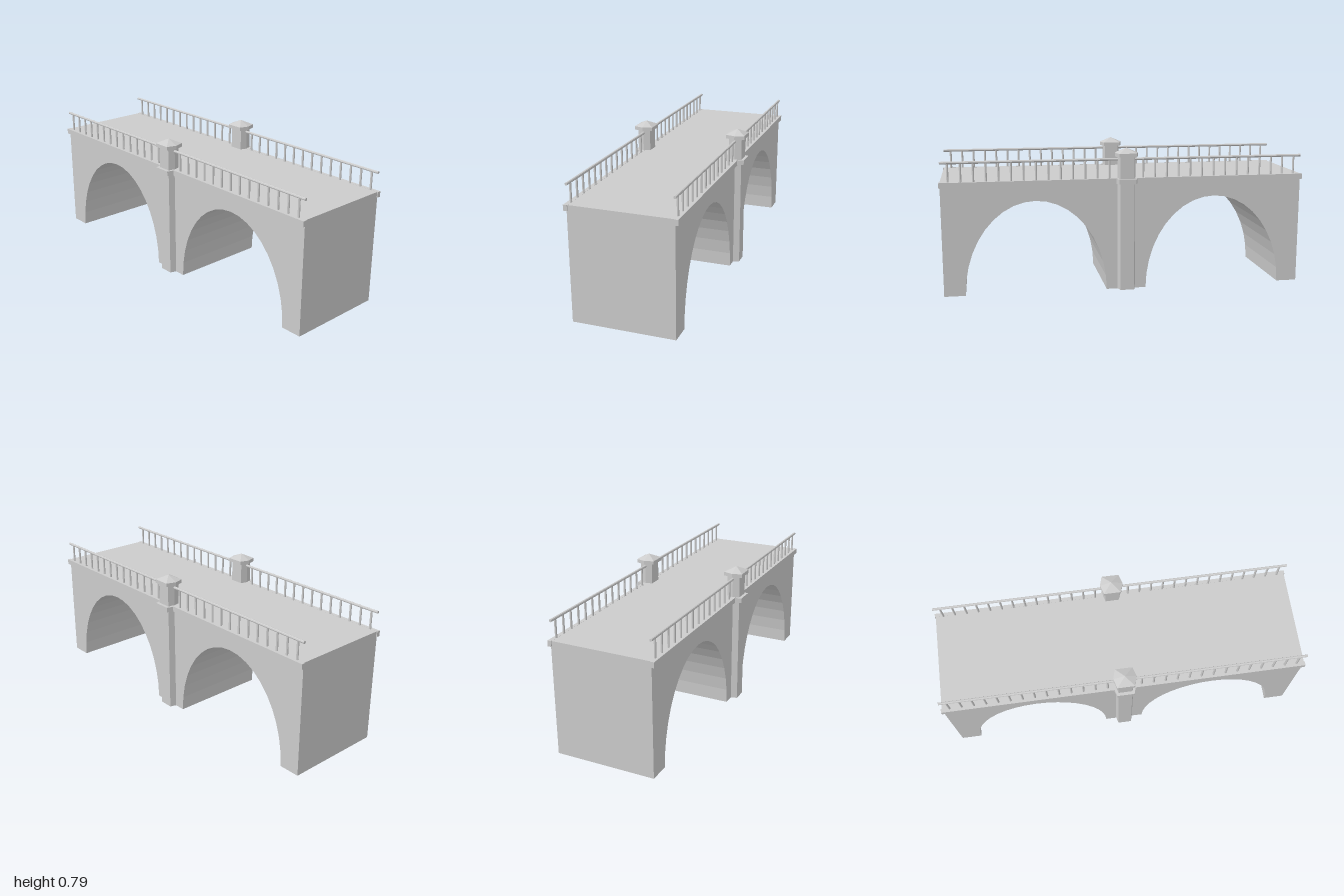
import * as THREE from 'three';

const material = new THREE.MeshStandardMaterial({ color: 0xcccccc, flatShading: true });

function add(parent, name, geometry, x = 0, y = 0, z = 0) {
  const mesh = new THREE.Mesh(geometry, material);
  mesh.name = name;
  mesh.position.set(x, y, z);
  parent.add(mesh);
  return mesh;
}

// Six-sided prism: points at +-halfX, flat faces at +-halfZ
function hexPrism(halfX, frontX, halfZ, y0, y1) {
  const shape = new THREE.Shape([
    [halfX, 0], [frontX, halfZ], [-frontX, halfZ],
    [-halfX, 0], [-frontX, -halfZ], [frontX, -halfZ],
  ].map(([x, z]) => new THREE.Vector2(x, z)));
  return new THREE.ExtrudeGeometry(shape, { depth: y1 - y0, bevelEnabled: false })
    .rotateX(-Math.PI / 2).translate(0, y0, 0);
}

// Solid bridge body with two elliptical arches cut from its underside
function bodyGeometry() {
  const shape = new THREE.Shape();
  shape.moveTo(-0.995, 0);
  for (const cx of [-0.495, 0.495]) {
    const segments = 20;
    for (let i = 0; i <= segments; i++) {
      const a = Math.PI * (1 - i / segments);
      shape.lineTo(cx + 0.385 * Math.cos(a), 0.51 * Math.sin(a));
    }
  }
  shape.lineTo(0.995, 0);
  shape.lineTo(0.995, 0.622);
  shape.lineTo(-0.995, 0.622);
  return new THREE.ExtrudeGeometry(shape, { depth: 0.55, bevelEnabled: false })
    .translate(0, 0, -0.275);
}

// Central pier with collar, post and pointed cap
function createPier() {
  const pier = new THREE.Group();
  pier.name = 'pier';
  add(pier, 'pierShaft', hexPrism(0.049, 0.038, 0.036, 0, 0.6));
  add(pier, 'pierCollar', hexPrism(0.063, 0.047, 0.053, 0.594, 0.621));
  add(pier, 'pierPost', hexPrism(0.049, 0.038, 0.036, 0.62, 0.742));
  add(pier, 'capSlab', hexPrism(0.063, 0.047, 0.053, 0.74, 0.76));
  const roof = new THREE.ConeGeometry(1, 0.027, 6, 1, true).rotateY(Math.PI / 6);
  // Match the cone's rim to the slab outline
  const p = roof.attributes.position;
  for (let i = 0; i < p.count; i++) {
    const x = p.getX(i), z = p.getZ(i);
    if (Math.hypot(x, z) < 0.1) continue;
    const side = Math.abs(z) < 0.1;
    p.setX(i, Math.sign(x) * (side ? 0.063 : 0.047));
    p.setZ(i, side ? 0 : Math.sign(z) * 0.053);
  }
  add(pier, 'capRoof', roof, 0, 0.7735, 0);
  return pier;
}

// Handrail carried by two runs of slim balusters
function createRailing() {
  const railing = new THREE.Group();
  railing.name = 'railing';
  const rail = new THREE.CylinderGeometry(0.0075, 0.0075, 1.985, 8).rotateZ(Math.PI / 2);
  add(railing, 'handrail', rail, 0, 0.725, 0);
  const baluster = new THREE.CylinderGeometry(0.006, 0.006, 0.105, 8);
  for (const side of [-1, 1]) {
    for (let i = 0; i < 14; i++) {
      add(railing, 'baluster', baluster, side * (0.093 + i * 0.0661), 0.671, 0);
    }
  }
  return railing;
}

export function createModel() {
  const bridge = new THREE.Group();
  bridge.name = 'bridge';
  add(bridge, 'archedBody', bodyGeometry());

  for (const side of [-1, 1]) {
    const pier = createPier();
    pier.position.z = side * 0.273;
    bridge.add(pier);

    const railing = createRailing();
    railing.position.z = side * 0.272;
    bridge.add(railing);

    // Projecting ledge along the top edge
    add(bridge, 'ledge', new THREE.BoxGeometry(2, 0.03, 0.021), 0, 0.6075, side * 0.2805);
  }
  return bridge;
}
